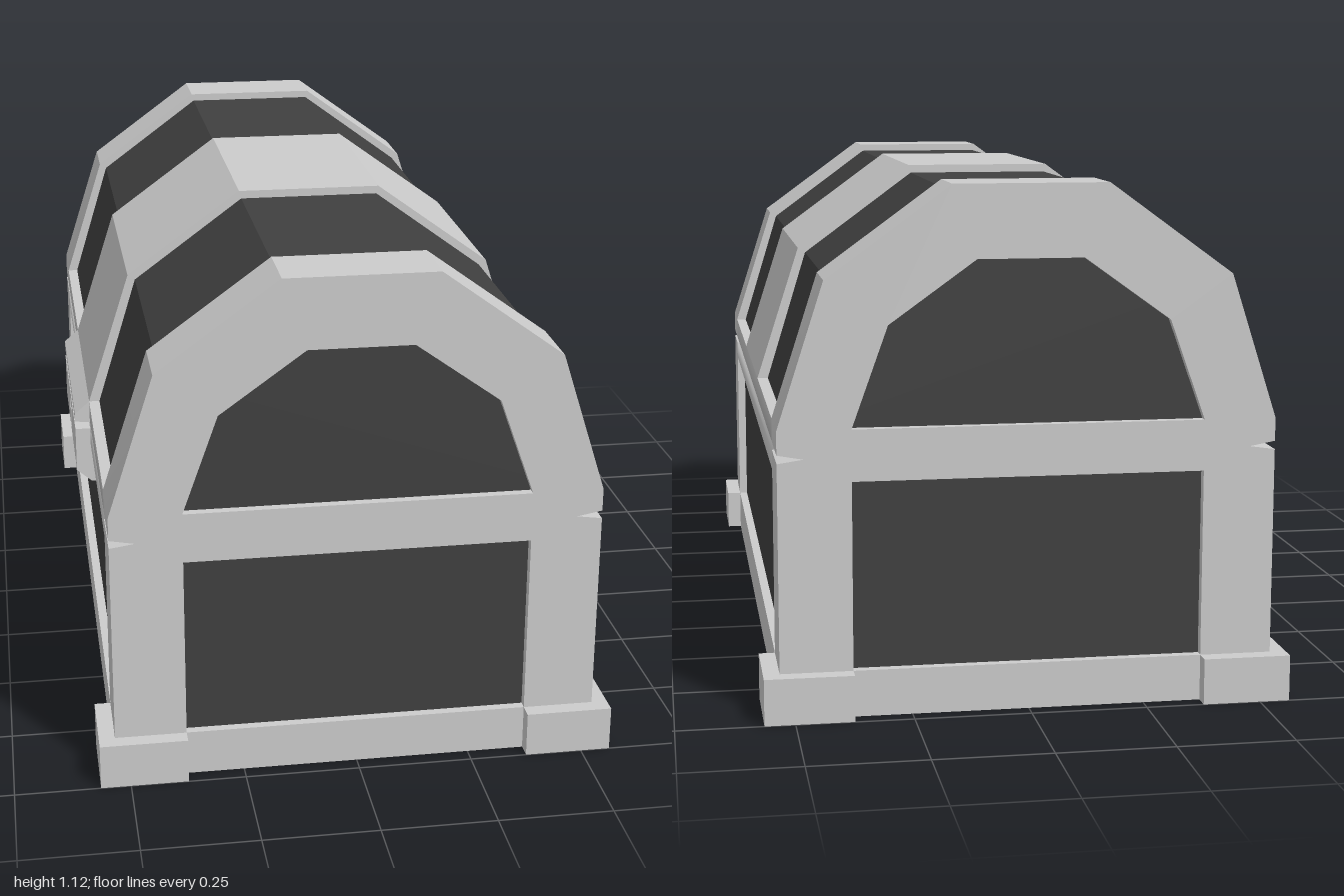
import * as THREE from 'three';
import { toCreasedNormals } from 'three/addons/utils/BufferGeometryUtils.js';

const trim = new THREE.MeshStandardMaterial({ color: 0xcccccc });
const panel = new THREE.MeshStandardMaterial({ color: 0x404040 });

// Half of the lid arch, from the rim up to the crown
const LID = [[0.53, 0.615], [0.43, 0.925], [0.165, 1.118]];
const LID_PANEL = [[0.51, 0.6], [0.413, 0.914], [0.16, 1.1]];
const LID_WINDOW = [[0.375, 0.615], [0.298, 0.83], [0.113, 0.963]];
// Groove between lid and body
const GROOVE = [[0.53, 0.547], [0.475, 0.555], [0.53, 0.565]];

const toPoints = (list) => list.map(([x, y]) => new THREE.Vector2(x, y));
const mirrorX = (list) => [...list, ...list.map(([x, y]) => [-x, y]).reverse()];

// Extrudes an outline along z, from z0 to z1
function prism(outline, z0, z1, holes = [], crease = 0.5) {
  const shape = new THREE.Shape(toPoints(outline));
  for (const h of holes) shape.holes.push(h.isPath ? h : new THREE.Path(toPoints(h)));
  const geo = new THREE.ExtrudeGeometry(shape, { depth: z1 - z0, bevelEnabled: false, curveSegments: 8 });
  geo.translate(0, 0, z0);
  return toCreasedNormals(geo, crease);
}

// Extrudes a ground plan upward from y = 0
const slab = (outline, height, holes) => prism(outline, 0, height, holes).rotateX(-Math.PI / 2);

const rect = (x, z) => [[-x, -z], [x, -z], [x, z], [-x, z]];

export function createModel() {
  const chest = new THREE.Group();
  chest.name = 'chest';
  const add = (name, geo, mat = trim, parent = chest) => {
    const mesh = new THREE.Mesh(geo, mat);
    mesh.name = name;
    parent.add(mesh);
    return mesh;
  };

  // Dark panels of body and lid
  const body = new THREE.BoxGeometry(1.02, 0.52, 1.89);
  body.translate(0, 0.26, 0);
  add('bodyPanels', body, panel);
  add('lidPanels', prism(mirrorX(LID_PANEL), -0.945, 0.945), panel);

  // Bottom rail around the body
  add('bottomRail', slab(rect(0.53, 0.965), 0.1, [rect(0.51, 0.945)]));

  // End frames: two legs, crossbar and arch
  const frame = mirrorX([[0.375, 0.505], [0.375, 0.1], [0.53, 0.1], ...GROOVE, ...LID]);
  for (const [name, z] of [['frontFrame', 0.81], ['backFrame', -0.965]]) {
    add(name, prism(frame, z, z + 0.155, [mirrorX(LID_WINDOW)]));
  }

  // Raised band over the middle of the lid
  add('lidBand', prism(mirrorX(LID), -0.27, 0.27));

  for (const [side, sx] of [['left', 1], ['right', -1]]) {
    // Grooved side rails, with softened lips
    const rail = [[0.45, 0.505], [0.53, 0.505], ...GROOVE, [0.53, 0.615], [0.45, 0.615]];
    add(side + 'Rail', prism(rail.map(([x, y]) => [sx * x, y]), -0.81, 0.81, [], 1.45));

    // Corner feet wrapping the bottom rail
    for (const [end, sz] of [['Front', 1], ['Back', -1]]) {
      const foot = [[0.53, 0.81], [0.565, 0.81], [0.565, 1], [0.375, 1], [0.375, 0.965], [0.53, 0.965]];
      add(side + end + 'Foot', slab(foot.map(([x, z]) => [sx * x, -sz * z]), 0.1));
    }
  }

  // Lock on the right side
  const lock = new THREE.Group();
  lock.name = 'lock';
  chest.add(lock);

  // Hasp on the lid rim
  add('hasp', prism([[-0.52, 0.615], [-0.53, 0.615], [-0.565, 0.585], [-0.565, 0.565], [-0.52, 0.562]],
    -0.27, 0.27), trim, lock);

  // Backing with the bevelled lower edge
  add('lockBacking', prism([[-0.505, 0.41], [-0.53, 0.41], [-0.565, 0.44], [-0.535, 0.44],
    [-0.535, 0.545], [-0.505, 0.545]], -0.27, 0.27), trim, lock);

  // Face plate with a keyhole
  const keyhole = new THREE.Path();
  keyhole.moveTo(-0.022, 0.452);
  keyhole.lineTo(0.022, 0.452);
  keyhole.lineTo(0.012, 0.49);
  keyhole.absarc(0, 0.51, 0.024, -Math.PI / 3, Math.PI * 4 / 3, false);
  keyhole.closePath();
  keyhole.isPath = true;
  const plate = prism([[-0.27, 0.44], [0.27, 0.44], [0.27, 0.546], [-0.27, 0.546]], 0, 0.035, [keyhole]);
  plate.rotateY(-Math.PI / 2).translate(-0.53, 0, 0);
  add('lockPlate', plate, trim, lock);

  return chest;
}
